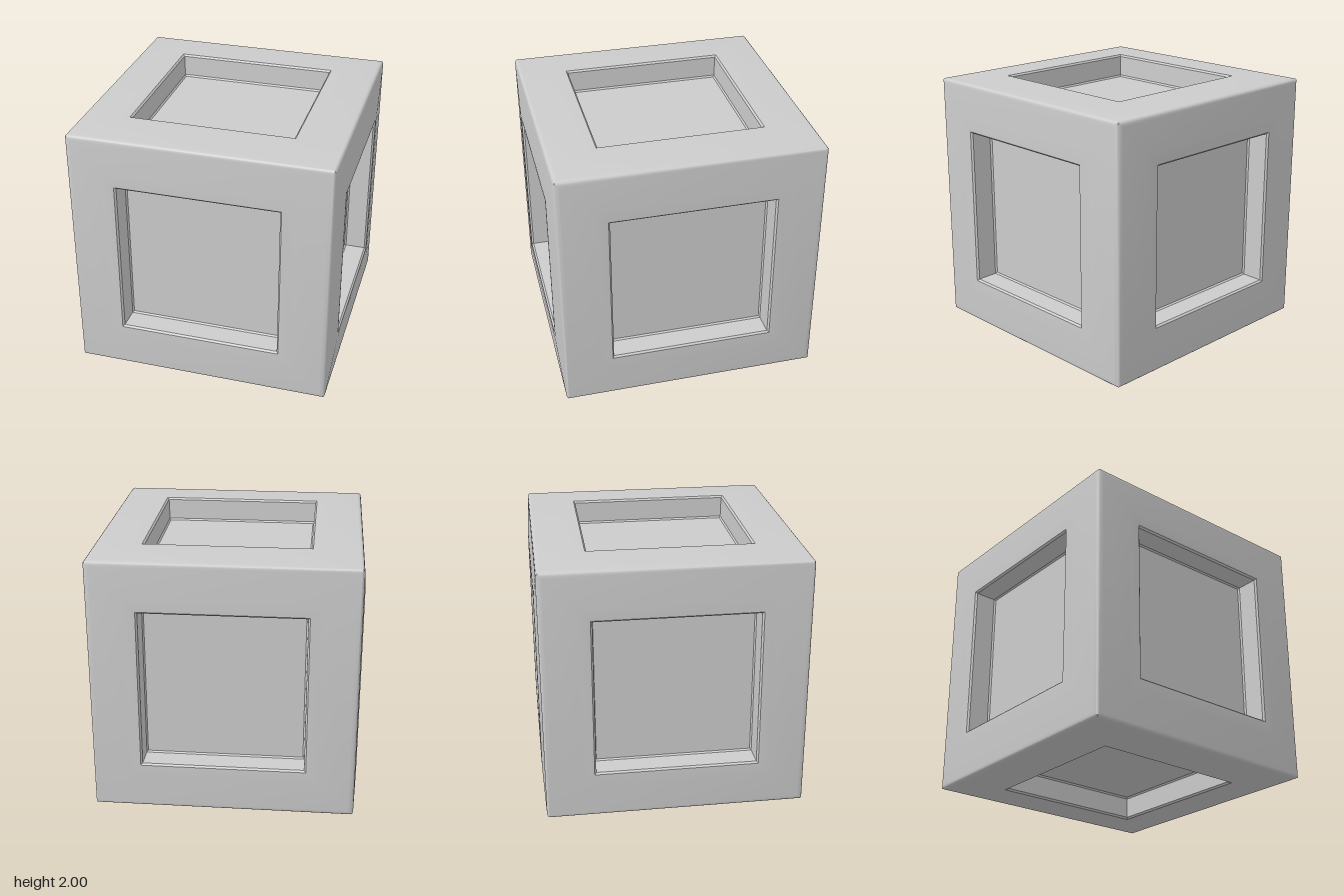
import * as THREE from 'three';
import { mergeGeometries, toCreasedNormals } from 'three/addons/utils/BufferGeometryUtils.js';

const FLOOR_HALF = 0.59;
const FLOOR_HEIGHT = 0.815;

// Half-width and height of each square ring, from the recess floor out to the cube edge
const PROFILE = [
  [FLOOR_HALF, FLOOR_HEIGHT], [0.6, 0.828], [0.605, 0.985], [0.618, 0.999],
  [0.65, 1], [0.72, 0.997], [0.94, 0.983], [0.955, 0.981], [0.966, 0.977], [0.972, 0.972],
];
const CORNERS = [[-1, -1], [1, -1], [1, 1], [-1, 1]];

// One side of the cube facing +z: nested square rings joined by quads
function frameSide() {
  const positions = [];
  const point = ([r, h], [sx, sy]) => [sx * r, sy * r, h];
  for (let i = 0; i < PROFILE.length - 1; i++) {
    const inner = PROFILE[i], outer = PROFILE[i + 1];
    CORNERS.forEach((c, k) => {
      const next = CORNERS[(k + 1) % 4];
      const a = point(outer, c), b = point(outer, next);
      const d = point(inner, next), e = point(inner, c);
      positions.push(...a, ...b, ...d, ...a, ...d, ...e);
    });
  }
  const geometry = new THREE.BufferGeometry();
  geometry.setAttribute('position', new THREE.Float32BufferAttribute(positions, 3));
  return geometry;
}

export function createModel() {
  const group = new THREE.Group();
  group.name = 'recessedCube';
  const material = new THREE.MeshStandardMaterial({ color: 0xcccccc });

  // Rotations that take the +z side to each of the six sides
  const q = Math.PI / 2;
  const sides = {
    front: [0, 0], left: [0, q], back: [0, 2 * q], right: [0, -q], top: [-q, 0], bottom: [q, 0],
  };

  const frames = [];
  for (const [side, [rx, ry]] of Object.entries(sides)) {
    const turn = new THREE.Matrix4().makeRotationFromEuler(new THREE.Euler(rx, ry, 0));
    frames.push(frameSide().applyMatrix4(turn));

    // Recessed floor panel
    const panel = new THREE.PlaneGeometry(2 * FLOOR_HALF, 2 * FLOOR_HALF);
    panel.translate(0, 0, FLOOR_HEIGHT).applyMatrix4(turn);
    const mesh = new THREE.Mesh(panel, material);
    mesh.name = side + 'Panel';
    mesh.position.y = 1;
    group.add(mesh);
  }

  // Softly bulging frame with rounded edges around all the recesses
  const frame = new THREE.Mesh(toCreasedNormals(mergeGeometries(frames), 0.6), material);
  frame.name = 'frame';
  frame.position.y = 1;
  group.add(frame);
  return group;
}
